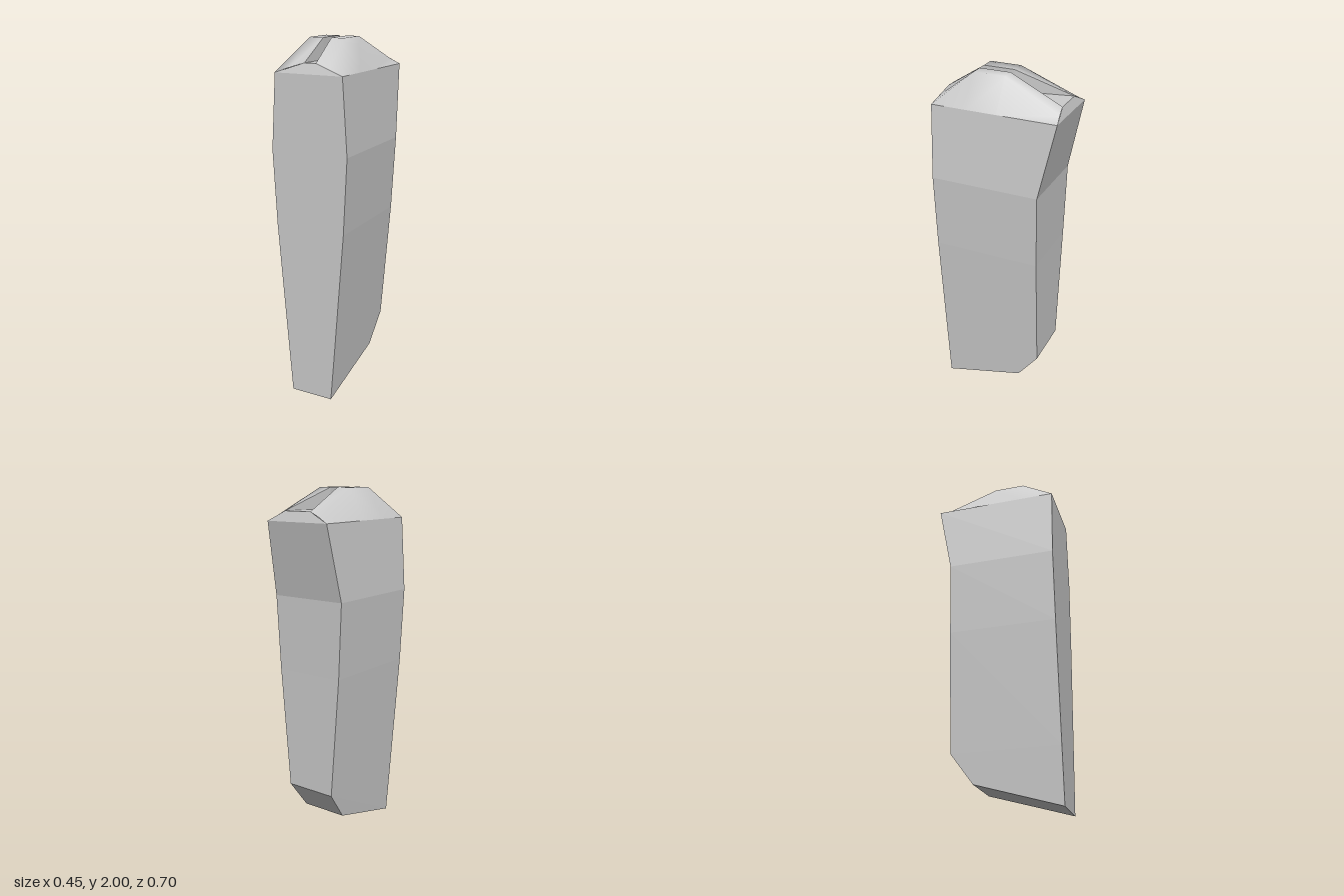
import * as THREE from 'three';

const material = new THREE.MeshStandardMaterial({ color: 0xcccccc, side: THREE.DoubleSide });
const FLOOR = 1.885;

// Flat-shaded mesh from a list of four-cornered faces, split along corners 0-2
function facetMesh(name, quads) {
  const pos = [];
  for (const [a, b, c, d] of quads) {
    for (const tri of [[a, b, c], [a, c, d]]) {
      const [p, q, r] = tri.map((v) => new THREE.Vector3(...v));
      const area = q.clone().sub(p).cross(r.clone().sub(p)).length();
      if (area > 1e-7) pos.push(...tri.flat());
    }
  }
  const geo = new THREE.BufferGeometry();
  geo.setAttribute('position', new THREE.Float32BufferAttribute(pos, 3));
  geo.computeVertexNormals();
  const mesh = new THREE.Mesh(geo, material);
  mesh.name = name;
  return mesh;
}

// Smooth mesh through a grid of points
function gridMesh(name, rows, flip) {
  const n = rows[0].length;
  const index = [];
  for (let i = 0; i < rows.length - 1; i++) {
    for (let j = 0; j < n - 1; j++) {
      const a = i * n + j, b = a + n, c = b + 1, d = a + 1;
      index.push(...(flip ? [a, c, b, a, d, c] : [a, b, c, a, c, d]));
    }
  }
  const geo = new THREE.BufferGeometry();
  geo.setAttribute('position', new THREE.Float32BufferAttribute(rows.flat(2), 3));
  geo.setIndex(index);
  geo.computeVertexNormals();
  const mesh = new THREE.Mesh(geo, material);
  mesh.name = name;
  return mesh;
}

// Tapered body: each ring is front half-width, front y, back half-width, back y, back z
function createBody() {
  const rings = [
    [0.125, 0, 0.136, 0.14, -0.13],
    [0.15, 0.31, 0.15, 0.31, -0.255],
    [0.204, 1.0, 0.204, 1.0, -0.258],
    [0.225, 1.42, 0.225, 1.42, -0.262],
    [0.198, 1.83, 0.198, 1.83, -0.35],
  ];
  const front = (i, s) => [s * rings[i][0], rings[i][1], 0.35];
  const back = (i, s) => [s * rings[i][2], rings[i][3], rings[i][4]];
  const quads = [[front(0, -1), back(0, -1), back(0, 1), front(0, 1)]];
  for (let i = 0; i < rings.length - 1; i++) {
    const k = i + 1;
    quads.push(
      [front(i, 1), back(i, 1), back(k, 1), front(k, 1)],
      [front(i, -1), front(k, -1), back(k, -1), back(i, -1)],
      [front(i, -1), front(i, 1), front(k, 1), front(k, -1)],
      [back(i, 1), back(i, -1), back(k, -1), back(k, 1)],
    );
  }
  return facetMesh('body', quads);
}

// Crown: two rounded ridges either side of a groove that widens to the back
function createCrown() {
  const crown = new THREE.Group();
  crown.name = 'crown';
  // rim z, ridge [x, y, z], groove edge [half-width, y, z]
  const stations = [
    [0.35, [0.116, 1.858, 0.34], [0.033, FLOOR, 0.332]],
    [0.15, [0.1, 2.0, 0.15], [0.024, 2.0, 0.15]],
    [-0.02, [0.1, 2.0, -0.025], [0.024, 2.0, -0.025]],
    [-0.35, [0.142, 1.858, -0.34], [0.085, FLOOR, -0.333]],
  ];
  const rim = (i, s) => [s * 0.198, 1.83, stations[i][0]];
  const ridge = (i, s) => [s * stations[i][1][0], stations[i][1][1], stations[i][1][2]];
  const edge = (i, s) => [s * stations[i][2][0] + 0.004, stations[i][2][1], stations[i][2][2]];
  const base = (i, s) => [edge(i, s)[0], FLOOR, edge(i, s)[2]];

  for (const s of [1, -1]) {
    const rows = stations.map((_, i) => [rim(i, s), ridge(i, s), edge(i, s)]);
    crown.add(gridMesh(s > 0 ? 'leftRidge' : 'rightRidge', rows, s < 0));
  }

  // Groove floor and its upright walls
  const groove = [];
  for (let i = 0; i < stations.length - 1; i++) {
    const k = i + 1;
    groove.push(
      [base(i, -1), base(i, 1), base(k, 1), base(k, -1)],
      [base(k, 1), base(i, 1), edge(i, 1), edge(k, 1)],
      [base(i, -1), base(k, -1), edge(k, -1), edge(i, -1)],
    );
  }
  crown.add(facetMesh('groove', groove));

  // Sloping bevels at the front and back
  crown.add(facetMesh('endBevels', [
    [rim(0, -1), rim(0, 1), edge(0, 1), edge(0, -1)],
    [rim(3, 1), rim(3, -1), edge(3, -1), edge(3, 1)],
  ]));
  return crown;
}

export function createModel() {
  const model = new THREE.Group();
  model.name = 'model';
  model.add(createBody(), createCrown());
  return model;
}
